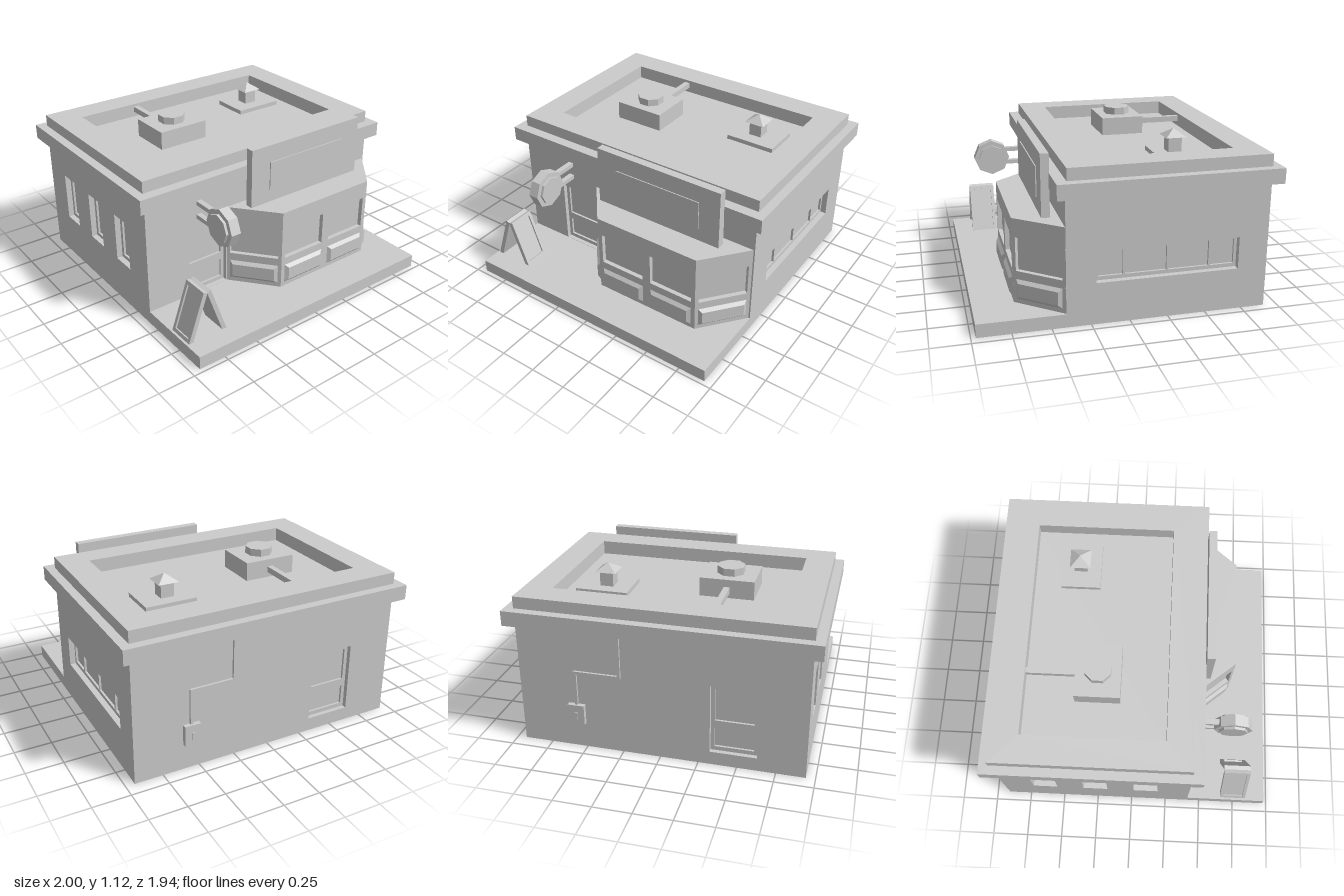
import * as THREE from 'three';

const mat = new THREE.MeshStandardMaterial({ color: 0xcccccc, flatShading: true, side: THREE.DoubleSide });

function add(parent, name, geo, x = 0, y = 0, z = 0) {
  const m = new THREE.Mesh(geo, mat);
  m.name = name;
  m.position.set(x, y, z);
  parent.add(m);
  return m;
}

// Box given by its min and max on each axis
function block(parent, name, x0, x1, y0, y1, z0, z1) {
  return add(parent, name, new THREE.BoxGeometry(x1 - x0, y1 - y0, z1 - z0),
    (x0 + x1) / 2, (y0 + y1) / 2, (z0 + z1) / 2);
}

function rect(Type, x0, x1, y0, y1) {
  return new Type([[x0, y0], [x1, y0], [x1, y1], [x0, y1]].map(p => new THREE.Vector2(...p)));
}

// Upright sheet facing local +z, with recesses [x0, x1, y0, y1] closed by a back pane
function sheet(parent, name, x0, x1, y0, y1, d, holes) {
  const g = new THREE.Group();
  g.name = name;
  const s = rect(THREE.Shape, x0, x1, y0, y1);
  s.holes = holes.map(h => rect(THREE.Path, ...h));
  add(g, name + 'Frame', new THREE.ExtrudeGeometry(s, { depth: d, bevelEnabled: false }), 0, 0, -d);
  add(g, name + 'Pane', new THREE.PlaneGeometry(x1 - x0, y1 - y0), (x0 + x1) / 2, (y0 + y1) / 2, -d);
  parent.add(g);
  return g;
}

// Raised panel whose front face is smaller than its back
function raisedPanel(parent, x0, x1, y0, y1, rise, inset) {
  const w = x1 - x0, h = y1 - y0;
  const geo = new THREE.BoxGeometry(w, h, rise);
  const p = geo.attributes.position;
  for (let i = 0; i < p.count; i++) if (p.getZ(i) > 0) {
    p.setX(i, p.getX(i) * (1 - 2 * inset / w));
    p.setY(i, p.getY(i) * (1 - 2 * inset / h));
  }
  geo.computeVertexNormals();
  add(parent, 'raisedPanel', geo, (x0 + x1) / 2, (y0 + y1) / 2, rise / 2);
}

// Horizontal rectangular ring with the roof well cut out
function roofRing(parent, name, x, z0, z1, y0, y1) {
  const s = rect(THREE.Shape, -x, x, -z1, -z0);
  s.holes = [rect(THREE.Path, -0.75, 0.75, -0.22, 0.72)];
  const geo = new THREE.ExtrudeGeometry(s, { depth: y1 - y0, bevelEnabled: false });
  add(parent, name, geo.rotateX(-Math.PI / 2), 0, y0, 0);
}

// Door leaf with two recessed panes, set back in a wall opening
function door(wall, name, x0, x1) {
  sheet(wall, name, x0, x1, 0.092, 0.565, 0.015,
    [[x0 + 0.025, x1 - 0.025, 0.31, 0.535], [x0 + 0.025, x1 - 0.025, 0.12, 0.255]]).position.z = -0.03;
}

function buildWalls(g) {
  const front = sheet(g, 'frontWall', -0.94, 0.94, 0.09, 0.86, 0.05, [[-0.63, -0.325, 0.092, 0.565]]);
  front.position.z = 0.41;
  door(front, 'frontDoor', -0.63, -0.325);

  const back = sheet(g, 'backWall', -0.94, 0.94, 0.09, 0.86, 0.05, [[0.325, 0.63, 0.092, 0.565]]);
  back.position.z = -0.91;
  back.rotation.y = Math.PI;
  door(back, 'backDoor', 0.325, 0.63);

  // Long strip window
  const left = sheet(g, 'leftWall', -0.66, 0.66, 0.09, 0.86, 0.06, [[-0.47, 0.465, 0.28, 0.495]]);
  left.position.set(0.94, 0, -0.25);
  left.rotation.y = Math.PI / 2;
  const panes = [[-0.45, -0.29], [-0.275, -0.005], [0.005, 0.275], [0.29, 0.445]];
  sheet(left, 'stripWindow', -0.47, 0.465, 0.28, 0.495, 0.015,
    panes.map(([a, b]) => [a, b, 0.305, 0.475])).position.z = -0.04;

  // Three tall windows
  const wins = [-0.36, -0.005, 0.35];
  const right = sheet(g, 'rightWall', -0.66, 0.66, 0.09, 0.86, 0.06,
    wins.map(c => [c - 0.085, c + 0.085, 0.3, 0.635]));
  right.position.set(-0.94, 0, -0.25);
  right.rotation.y = -Math.PI / 2;
  for (const c of wins) sheet(right, 'tallWindow', c - 0.085, c + 0.085, 0.3, 0.635, 0.015,
    [[c - 0.06, c + 0.06, 0.325, 0.61]]).position.z = -0.04;
}

function buildBay(g) {
  const bay = new THREE.Group();
  bay.name = 'bayWindow';
  g.add(bay);
  const face = (half, spans, x, z, angle) => {
    const f = sheet(bay, 'bayFace', -half, half, 0.09, 0.66, 0.03, spans.map(([a, b]) => [a, b, 0.31, 0.535]));
    for (const [a, b] of spans) raisedPanel(f, a, b, 0.12, 0.255, 0.02, 0.022);
    f.position.set(x, 0, z);
    f.rotation.y = angle;
  };
  const slant = Math.atan2(0.29, 0.24);
  face(0.385, [[-0.355, -0.025], [0.035, 0.355]], 0.305, 0.7, 0);
  face(0.188, [[-0.165, 0.165]], -0.2, 0.555, -slant);
  face(0.188, [[-0.165, 0.165]], 0.81, 0.555, slant);
  const top = new THREE.Shape([[-0.32, -0.41], [-0.08, -0.7], [0.69, -0.7], [0.93, -0.41]]
    .map(p => new THREE.Vector2(...p)));
  add(bay, 'bayRoof', new THREE.ShapeGeometry(top).rotateX(-Math.PI / 2), 0, 0.66, 0);
}

function buildRoof(g) {
  roofRing(g, 'eave', 1, -0.97, 0.47, 0.85, 0.95);
  roofRing(g, 'parapet', 0.94, -0.91, 0.4, 0.95, 1.03);
  block(g, 'roofFloor', -0.76, 0.76, 0.87, 0.935, -0.73, 0.23);
  // Cooling unit with its duct
  block(g, 'coolingUnit', -0.49, -0.13, 0.93, 1.06, -0.39, -0.09);
  add(g, 'coolingFan', new THREE.CylinderGeometry(0.093, 0.093, 0.05, 8).rotateY(Math.PI / 8), -0.31, 1.085, -0.24);
  block(g, 'duct', -0.33, -0.29, 0.97, 1.01, -0.73, -0.38);
  // Vent with a pyramid cap
  block(g, 'ventPlate', 0.32, 0.67, 0.93, 0.965, -0.54, -0.27);
  block(g, 'ventPost', 0.44, 0.53, 0.96, 1.07, -0.455, -0.365);
  add(g, 'ventCap', new THREE.ConeGeometry(0.099, 0.05, 4).rotateY(Math.PI / 4), 0.485, 1.09, -0.41);
}

function buildSigns(g) {
  block(g, 'signBoard', -0.2, 0.74, 0.66, 1.07, 0.465, 0.52);
  block(g, 'signPanel', -0.05, 0.59, 0.75, 0.95, 0.515, 0.527);

  // Octagonal hanging sign on two bars
  const disc = (r, w) => new THREE.CylinderGeometry(r, r, w, 8).rotateZ(Math.PI / 2);
  add(g, 'hangingSignRim', disc(0.13, 0.07), -0.542, 0.715, 0.675);
  add(g, 'hangingSignFace', disc(0.097, 0.105), -0.542, 0.715, 0.675);
  for (const y of [0.67, 0.768]) block(g, 'signBar', -0.56, -0.523, y - 0.015, y + 0.015, 0.4, 0.6);

  // Folding pavement board, two mirrored leaves
  for (const s of [-1, 1]) {
    const leaf = new THREE.Group();
    leaf.name = 'pavementBoardLeaf';
    leaf.position.set(-0.782 + s * 0.142, 0.09, 0.742);
    leaf.rotation.set(0, s * Math.PI / 2, 0);
    const tilt = new THREE.Group();
    tilt.rotation.x = -0.335;
    leaf.add(tilt);
    sheet(tilt, 'boardFace', -0.092, 0.092, -0.005, 0.35, 0.012, [[-0.07, 0.07, 0.025, 0.325]]);
    block(tilt, 'boardBack', -0.092, 0.092, -0.005, 0.35, -0.03, -0.012);
    g.add(leaf);
  }
}

function buildMeter(g) {
  block(g, 'meterBox', 0.5, 0.61, 0.18, 0.32, -0.94, -0.9);
  block(g, 'meterLever', 0.545, 0.565, 0.22, 0.27, -0.946, -0.935);
  block(g, 'conduit', 0.545, 0.565, 0.31, 0.56, -0.925, -0.9);
  block(g, 'conduit', 0.25, 0.565, 0.54, 0.56, -0.925, -0.9);
  block(g, 'conduit', 0.25, 0.27, 0.54, 0.86, -0.925, -0.9);
}

export function createModel() {
  const g = new THREE.Group();
  g.name = 'shop';
  // Ground slab, hollow and open underneath
  const slab = new THREE.BoxGeometry(1.88, 0.09, 1.88);
  const idx = Array.from(slab.index.array);
  idx.splice(18, 6);
  slab.setIndex(idx);
  slab.clearGroups();
  add(g, 'groundSlab', slab, 0, 0.045, 0.03);
  buildWalls(g);
  buildBay(g);
  buildRoof(g);
  buildSigns(g);
  buildMeter(g);
  return g;
}
